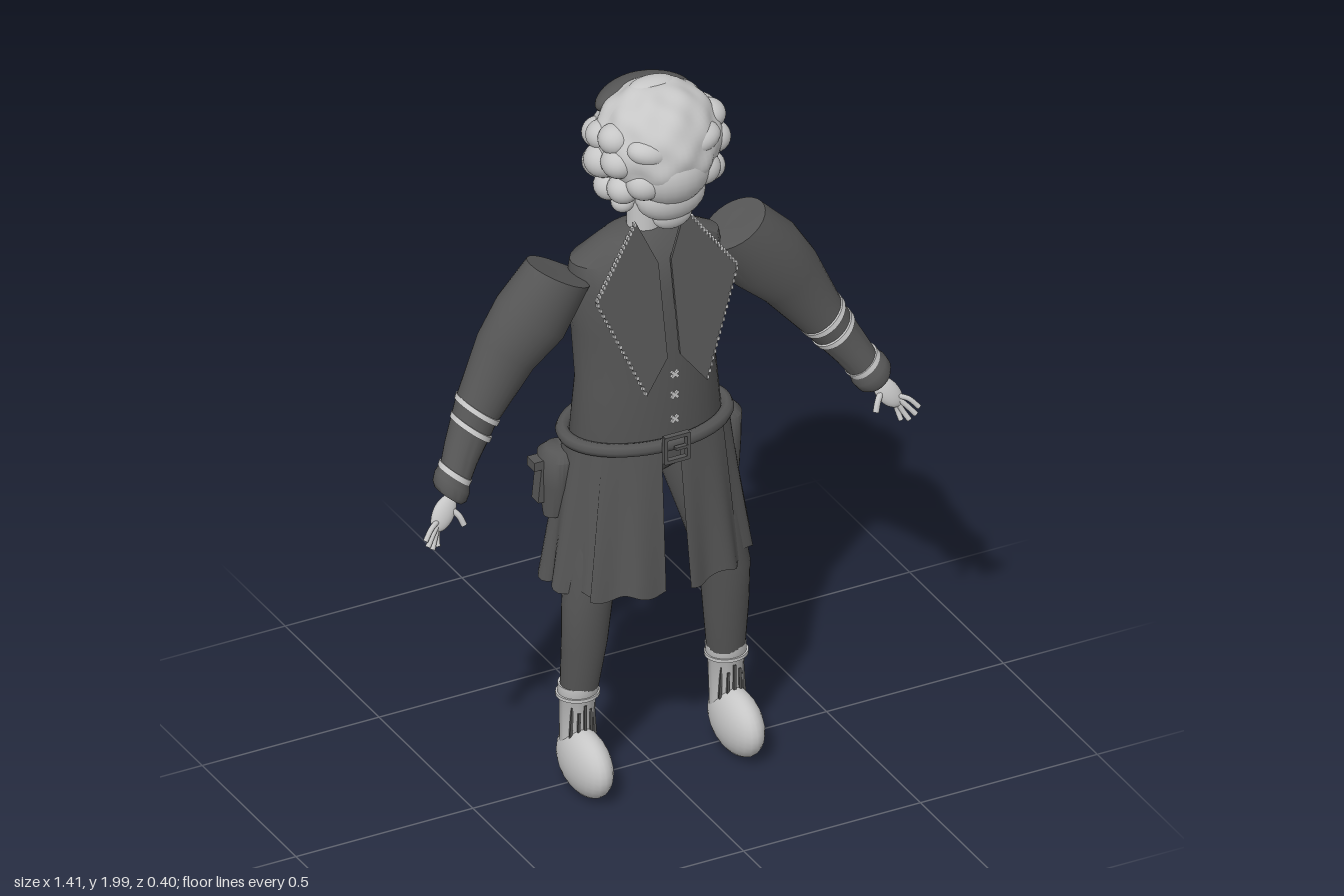
import * as THREE from 'three';
import { toCreasedNormals } from 'three/addons/utils/BufferGeometryUtils.js';

const mat = (name, color, side = THREE.FrontSide) => {
  const m = new THREE.MeshStandardMaterial({ color, side });
  m.name = name;
  return m;
};

export function createModel() {
  const model = new THREE.Group();
  const dark = mat('dark cloth', 0x555555);
  const darkOpen = mat('dark open cloth', 0x555555, THREE.DoubleSide);
  const light = mat('pale grey', 0xc6c6c6);

  const add = (name, geo, material, pos = [0, 0, 0], rot = [0, 0, 0], scale = [1, 1, 1]) => {
    const m = new THREE.Mesh(geo, material);
    m.name = name;
    m.position.set(...pos);
    m.rotation.set(...rot);
    m.scale.set(...scale);
    model.add(m);
  };
  const ball = new THREE.SphereGeometry(1, 24, 16);
  const blob = (name, material, pos, r, rot) => add(name, ball, material, pos, rot, r);
  const tube = (pts, r, closed = false, n = 24) =>
    new THREE.TubeGeometry(new THREE.CatmullRomCurve3(pts.map(p => new THREE.Vector3(...p)), closed), n, r, 8, closed);

  // Skin of elliptical sections [x, y, z, radius across, radius deep, own tilt], listed from top to bottom.
  // Tilt leans a section in the xy plane; side mirrors it.
  const loft = (sections, tilt = 0, side = 1, n = 28) => {
    const pos = [], idx = [];
    for (const [x, y, z, ru, rv, lean = tilt] of sections)
      for (let i = 0; i < n; i++) {
        const a = i / n * Math.PI * 2, u = Math.cos(a) * ru;
        pos.push(x * side + u * Math.cos(lean), y + u * Math.sin(lean) * side, z + Math.sin(a) * rv);
      }
    const last = sections.length - 1;
    for (let j = 0; j < last; j++)
      for (let i = 0; i < n; i++) {
        const k = (i + 1) % n, a = j * n + i, b = j * n + k;
        idx.push(a, b, a + n, b, b + n, a + n);
      }
    for (const j of [0, last]) {
      const [x, y, z] = sections[j], mid = pos.length / 3;
      pos.push(x * side, y, z);
      for (let i = 0; i < n; i++) {
        const a = j * n + i, b = j * n + (i + 1) % n;
        j ? idx.push(mid, a, b) : idx.push(mid, b, a);
      }
    }
    const g = new THREE.BufferGeometry();
    g.setAttribute('position', new THREE.Float32BufferAttribute(pos, 3));
    g.setIndex(idx);
    return toCreasedNormals(g, 0.9);
  };

  // Coat body and hips
  add('coatBody', loft([
    [0, 1.555, -.03, .06, .05], [0, 1.54, -.035, .11, .07], [0, 1.495, -.03, .205, .1], [0, 1.42, -.03, .215, .115],
    [0, 1.3, -.028, .2, .12], [0, 1.15, -.025, .19, .12], [0, 1.0, -.025, .205, .125], [0, .93, -.025, .19, .12],
  ]), dark);
  add('hips', loft([[0, .97, -.02, .19, .11], [0, .9, -.02, .16, .09], [0, .865, -.01, .06, .05]]), dark);

  // Skirt of the coat: flared, pleated panels; the back one is seen from outside only
  const panel = (name, material, a0, a1, grow, hem) => {
    const g = new THREE.PlaneGeometry(1, 1, 24, 8), p = g.attributes.position;
    for (let i = 0; i < p.count; i++) {
      const a = a0 + (a1 - a0) * (p.getX(i) + .5), t = .5 - p.getY(i);
      const pleat = 1 + grow + .045 * t * Math.sin(a * 13);
      p.setXYZ(i, Math.sin(a) * (.225 + .055 * t) * pleat,
        .98 + (hem - .98) * t + .008 * t * Math.cos(a * 13),
        -.02 + Math.cos(a) * (.13 + .04 * t) * pleat);
    }
    g.computeVertexNormals();
    add(name, g, material);
  };
  panel('rightFrontPanel', darkOpen, -.84, -.11, .02, .58);
  panel('leftFrontPanel', darkOpen, .11, .84, .02, .58);
  panel('leftSidePanel', darkOpen, .76, 2.3, 0, .59);
  panel('rightSidePanel', darkOpen, -2.3, -.76, 0, .59);
  panel('backPanel', dark, 2.2, 4.08, .03, .58);

  // Belt and buckle
  const ellipse = (rx, rz, y, z) => Array.from({ length: 16 }, (_, i) => {
    const a = i / 16 * Math.PI * 2;
    return [Math.cos(a) * rx, y, z + Math.sin(a) * rz];
  });
  add('belt', tube(ellipse(.22, .145, .99, -.027), .018, true, 64), dark);
  for (const s of [-1, 1]) {
    add('buckleSide', new THREE.BoxGeometry(.01, .075, .015), dark, [s * .032, .99, .142]);
    add('buckleBar', new THREE.BoxGeometry(.07, .01, .015), dark, [0, .99 + s * .034, .142]);
  }
  add('bucklePin', new THREE.BoxGeometry(.035, .008, .012), dark, [.012, .99, .145]);

  // Handle standing out of the right hip pouch
  add('pouchHandle', new THREE.BoxGeometry(.05, .025, .04), dark, [-.28, .92, -.06]);
  add('pouchGrip', new THREE.BoxGeometry(.025, .11, .035), dark, [-.275, .865, -.06], [0, 0, -.1]);

  // Shirt buttons, small crosses
  for (const y of [1.2, 1.14, 1.07])
    for (const s of [-1, 1])
      add('button', new THREE.BoxGeometry(.026, .008, .006), light, [0, y, .134], [0, 0, s * .75]);

  for (const s of [1, -1]) {
    const side = s > 0 ? 'left' : 'right';

    // Hip pouch
    add(side + 'Pouch', loft([
      [.225, .955, -.055, .035, .04], [.235, .935, -.055, .045, .06], [.24, .86, -.055, .038, .055], [.245, .77, -.045, .03, .025],
    ], 0, s), dark);

    // Lapel: a thin leaning plate with a stitched edge
    const edge = [[.07, 1.62], [.2, 1.44], [.085, 1.165]];
    const depthAt = y => .05 + (1.62 - y) * .195;
    const shape = new THREE.Shape([...edge, [.018, 1.25], [.018, 1.5]].map(([x, y]) => new THREE.Vector2(x * s, y)));
    const lapel = new THREE.ExtrudeGeometry(shape, { depth: .008, bevelEnabled: false });
    const lp = lapel.attributes.position;
    for (let i = 0; i < lp.count; i++) lp.setZ(i, lp.getZ(i) + depthAt(lp.getY(i)));
    lapel.computeVertexNormals();
    add(side + 'Lapel', lapel, dark);
    for (let k = 0; k < 2; k++)
      for (let i = 0; i < 18; i++) {
        const t = (i + .5) / 18, y = edge[k][1] + (edge[k + 1][1] - edge[k][1]) * t;
        const x = edge[k][0] + (edge[k + 1][0] - edge[k][0]) * t;
        add('lapelStitch', new THREE.BoxGeometry(.006, .009, .01), light, [x * s, y, depthAt(y) + .005]);
      }

    // Sleeve with a peaked shoulder, light stripes and a cuff
    const tilt = .68;
    add(side + 'Sleeve', loft([
      [.22, 1.475, -.025, .06, .05, .45], [.248, 1.486, -.02, .09, .08, .5], [.33, 1.38, -.015, .106, .086], [.4, 1.3, -.015, .09, .072],
      [.49, 1.16, -.002, .063, .058], [.55, 1.07, .03, .05, .048], [.592, 1.0, .06, .042, .04],
    ], tilt, s), dark);
    for (const [x, y, z, r] of [[.484, 1.17, -.002, .067], [.508, 1.132, .01, .062], [.572, 1.035, .045, .05]])
      add(side + 'SleeveStripe', loft([[x, y, z, r, r - .002], [x + .008, y - .011, z + .004, r - .001, r - .003]], tilt, s), light);
    add(side + 'Cuff', loft([
      [.58, 1.024, .05, .047, .045], [.588, 1.01, .056, .054, .05], [.6, .992, .064, .052, .048], [.606, .983, .068, .042, .04],
    ], tilt, s), dark);

    // Hand
    blob(side + 'Palm', light, [.628 * s, .945, .085], [.03, .05, .017], [-.3, 0, s * .62]);
    for (const [x, y, z] of [[.698, .9, .12], [.69, .88, .118], [.674, .866, .113], [.655, .866, .105]])
      add(side + 'Finger', tube([[(.6 + x * .06) * s, .935, .09], [(x * .55 + .29) * s, y + .025, z - .012], [x * s, y, z]], .007), light);
    add(side + 'Thumb', tube([[.61 * s, .955, .085], [.592 * s, .935, .1], [.582 * s, .91, .108]], .008), light);

    // Trouser leg, sock and shoe
    add(side + 'Trouser', loft([
      [.115, .95, -.02, .085, .1], [.125, .85, -.01, .088, .095], [.16, .7, .015, .078, .075],
      [.194, .55, .033, .067, .057], [.2, .42, .028, .06, .052], [.207, .29, .015, .05, .046],
    ], 0, s), dark);
    add(side + 'Sock', loft([
      [.208, .3, .012, .053, .05], [.21, .265, .012, .052, .048], [.21, .255, .01, .047, .044], [.212, .11, .008, .043, .04],
    ], 0, s), light);
    add(side + 'SockBand', loft([[.21, .275, .012, .057, .053], [.21, .266, .012, .057, .053]], 0, s), light);
    for (const [dx, h] of [[-.032, .09], [-.016, .06], [0, .1], [.018, .07], [.032, .09]])
      add(side + 'SockTear', new THREE.BoxGeometry(.007, h, .006), dark, [.211 * s + dx, .2, .054 - dx * dx * 13], [0, 0, dx * 2]);
    blob(side + 'Shoe', light, [.214 * s, .092, .058], [.055, .088, .115], [.06, 0, 0]);
  }

  // Neck
  add('neck', new THREE.CylinderGeometry(.042, .044, .2, 24), light, [0, 1.62, -.032]);

  // Head: a lumpy ball that narrows towards the beard
  const head = new THREE.SphereGeometry(1, 64, 48), hp = head.attributes.position;
  for (let i = 0; i < hp.count; i++) {
    const x = hp.getX(i), y = hp.getY(i), z = hp.getZ(i);
    const lump = 1 + .022 * Math.sin(x * 9 + 1.5) * Math.sin(y * 11) + .02 * Math.cos(z * 12 + y * 5) * Math.cos(x * 8);
    const taper = y < 0 ? 1 + y * .2 : 1;
    hp.setXYZ(i, x * .168 * lump * taper, 1.83 + y * .162 * lump, .032 + z * .16 * lump);
  }
  head.computeVertexNormals();
  add('head', head, light);
  blob('topCurl', light, [0, 1.975, .012], [.066, .024, .038]);
  blob('face', light, [0, 1.79, .1], [.11, .1, .098]);
  blob('beard', light, [0, 1.715, .11], [.095, .07, .058]);
  blob('chin', light, [0, 1.66, .12], [.055, .04, .026]);
  for (const s of [1, -1]) {
    blob('brow', light, [s * .065, 1.865, .125], [.065, .04, .05], [0, 0, s * .2]);
    blob('cheek', light, [s * .08, 1.775, .125], [.05, .045, .045]);
  }

  // Curls around the sides and back: [angle from the front, height, size]
  const curls = [
    [1.1, 1.75, .042], [1.15, 1.83, .046], [1.3, 1.885, .044], [1.55, 1.735, .042], [1.6, 1.81, .05], [1.75, 1.87, .042],
    [2.0, 1.7, .038], [2.05, 1.77, .046], [2.1, 1.85, .044], [2.5, 1.73, .044], [2.55, 1.82, .048],
    [2.95, 1.76, .044], [2.98, 1.84, .044], [1.4, 1.685, .03],
  ];
  for (const [a, y, r] of curls)
    for (const s of [1, -1]) {
      const f = Math.sqrt(Math.max(0, 1 - ((y - 1.82) / .19) ** 2));
      blob('curl', light, [s * Math.sin(a) * .146 * f, y, .03 + Math.cos(a) * .135 * f], [r, r * .92, r]);
    }

  // Skullcap: a curved pad on the back of the crown
  const cap = new THREE.SphereGeometry(1, 40, 20), cp = cap.attributes.position;
  for (let i = 0; i < cp.count; i++) {
    const x = cp.getX(i);
    cp.setXYZ(i, x * .13, cp.getY(i) * .042 - x * x * .015, cp.getZ(i) * .06 + x * x * .03);
  }
  cap.computeVertexNormals();
  add('skullcap', cap, dark, [0, 1.922, -.073], [-.45, 0, 0]);

  return model;
}
